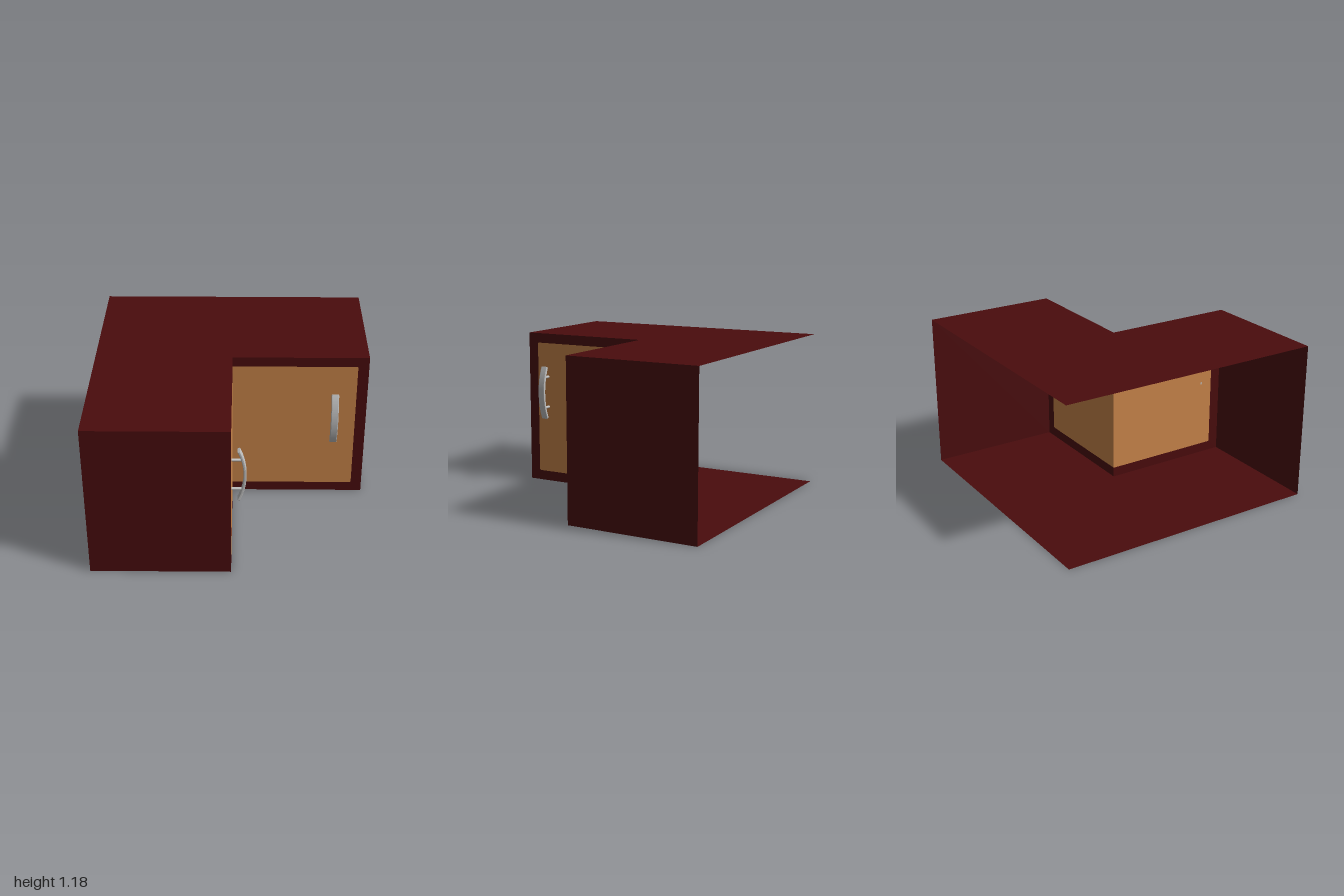
import * as THREE from 'three';

const H = 1.18;                            // cabinet height
const DOOR = { w: 0.92, y0: 0.075, y1: 1.105, r: 0.012 };

export function createModel() {
  const carcass = new THREE.MeshStandardMaterial({ color: 0x4a0c0d, side: THREE.DoubleSide });
  carcass.name = 'darkRedWood';
  const wood = new THREE.MeshStandardMaterial({ color: 0xc9854a, side: THREE.DoubleSide });
  wood.name = 'lightWood';
  const metal = new THREE.MeshStandardMaterial({ color: 0xc0c0c0 });
  metal.name = 'brushedMetal';

  const model = new THREE.Group();
  model.name = 'cornerCabinet';

  const add = (parent, name, geometry, material, x = 0, y = 0, z = 0) => {
    const mesh = new THREE.Mesh(geometry, material);
    mesh.name = name;
    mesh.position.set(x, y, z);
    parent.add(mesh);
    return mesh;
  };

  // L-shaped top and bottom panels
  const lShape = new THREE.Shape(
    [[-1, -1], [1, -1], [1, 0], [0, 0], [0, 1], [-1, 1]].map(p => new THREE.Vector2(...p)));
  const bottom = new THREE.ShapeGeometry(lShape).rotateX(Math.PI / 2);
  const top = new THREE.ShapeGeometry(
    new THREE.Shape(lShape.getPoints().map(p => new THREE.Vector2(p.x, -p.y)))).rotateX(-Math.PI / 2);
  add(model, 'bottomPanel', bottom, carcass);
  add(model, 'topPanel', top, carcass, 0, H, 0);

  // Door edge with softly rounded outer corners, drawn from the inner corner
  const doorEdge = (shape, s) => {
    const { w, y0, y1, r } = DOOR;
    shape.lineTo(s * (w - r), y0);
    shape.quadraticCurveTo(s * w, y0, s * w, y0 + r);
    shape.lineTo(s * w, y1 - r);
    shape.quadraticCurveTo(s * w, y1, s * (w - r), y1);
    shape.lineTo(0, y1);
  };

  // Curved grip: an arc band, extruded across its width with bevelled edges
  const gripGeometry = () => {
    const R = 0.487, half = Math.asin(0.198 / R), t = 0.004, b = 0.006, width = 0.055;
    const shape = new THREE.Shape();
    shape.absarc(-R, 0, R + t, -half, half, false);
    shape.absarc(-R, 0, R - t, half, -half, true);
    const g = new THREE.ExtrudeGeometry(shape, {
      depth: width - 2 * b, bevelEnabled: true, bevelSize: b, bevelThickness: b,
      bevelSegments: 3, curveSegments: 20,
    });
    // Bulge direction becomes +z, width runs along x
    return g.translate(0, 0, b - width / 2).rotateY(-Math.PI / 2);
  };

  const makeHandle = reach => {
    const handle = new THREE.Group();
    handle.name = 'handle';
    add(handle, 'grip', gripGeometry(), metal, 0, 0, reach);
    const length = reach - 0.01;
    for (const side of [-1, 1]) {
      const post = new THREE.CylinderGeometry(0.01, 0.01, length, 16).rotateX(Math.PI / 2);
      add(handle, side > 0 ? 'upperPost' : 'lowerPost', post, metal, 0, side * 0.12, length / 2);
    }
    return handle;
  };

  // One wing: face frame, door, end panel and handle; s mirrors it sideways
  const makeWing = (name, s, handleX, reach) => {
    const wing = new THREE.Group();
    wing.name = name;
    const frame = new THREE.Shape();
    frame.moveTo(0, H);
    frame.lineTo(s, H);
    frame.lineTo(s, 0);
    frame.lineTo(0, 0);
    frame.lineTo(0, DOOR.y0);
    doorEdge(frame, s);
    add(wing, 'faceFrame', new THREE.ShapeGeometry(frame), carcass);

    const door = new THREE.Shape();
    door.moveTo(0, DOOR.y0);
    doorEdge(door, s);
    add(wing, 'door', new THREE.ShapeGeometry(door), wood);

    const end = new THREE.PlaneGeometry(1, H).rotateY(s * Math.PI / 2);
    add(wing, 'endPanel', end, carcass, s, H / 2, -0.5);

    const handle = makeHandle(reach);
    handle.position.set(s * handleX, 0.72, 0);
    wing.add(handle);
    model.add(wing);
    return wing;
  };

  makeWing('leftWing', 1, 0.755, 0.135);
  makeWing('rightWing', -1, 0.825, 0.095).rotation.y = Math.PI / 2;

  return model;
}
